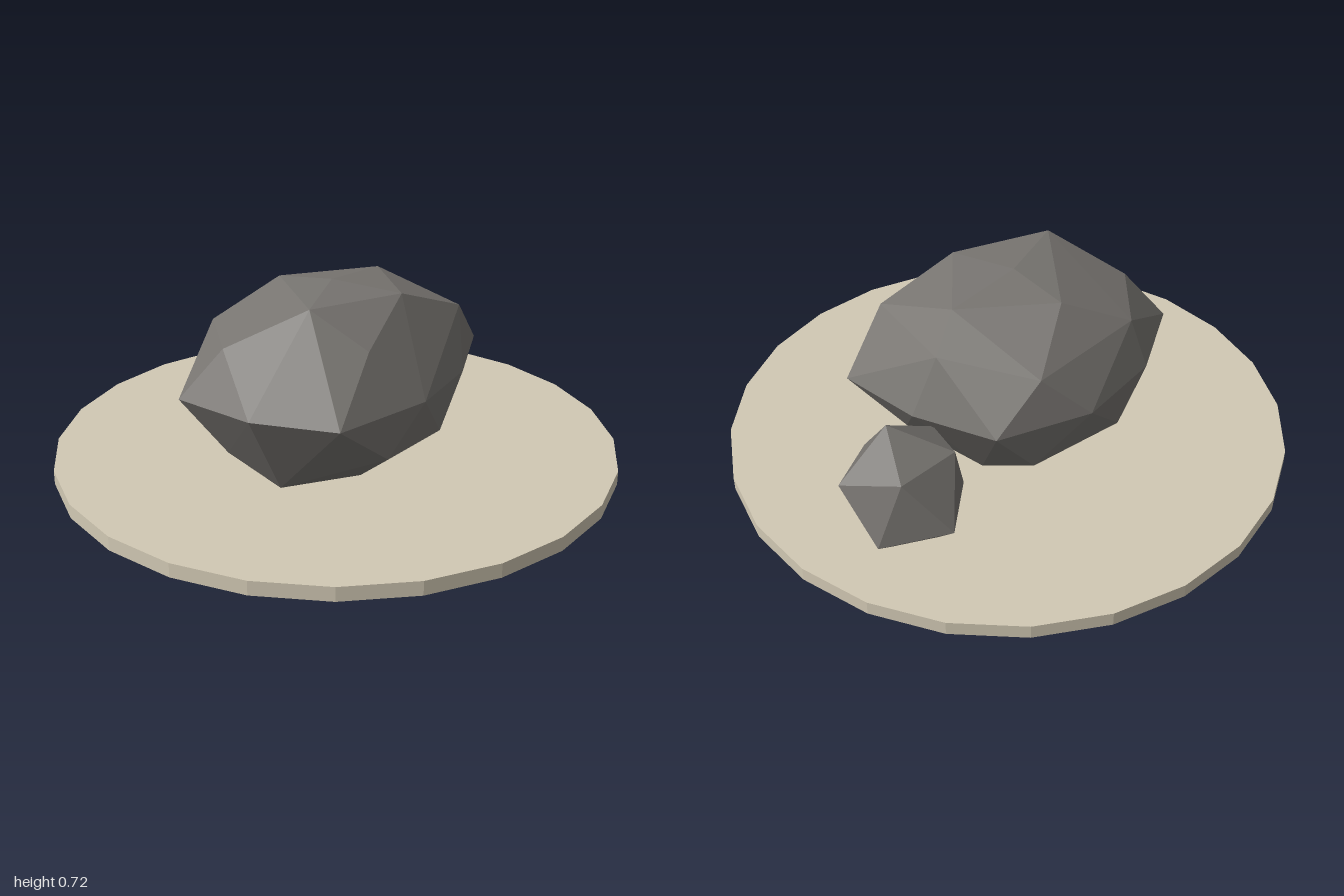
import * as THREE from 'three';
import { ConvexGeometry } from 'three/addons/geometries/ConvexGeometry.js';

const stone = new THREE.MeshStandardMaterial({ color: 0x777470, flatShading: true });
stone.name = 'stone grey';
const sand = new THREE.MeshStandardMaterial({ color: 0xd2c9b4, flatShading: true });
sand.name = 'pale sand';

// Faceted rock: the hull around a handful of corner points
function rock(name, corners) {
  const points = corners.map(([x, y, z]) => new THREE.Vector3(x, y, z));
  const mesh = new THREE.Mesh(new ConvexGeometry(points), stone);
  mesh.name = name;
  return mesh;
}

export function createModel() {
  const model = new THREE.Group();
  model.name = 'boulders';

  // Thin round ground plate
  const base = new THREE.Mesh(new THREE.CylinderGeometry(1, 1, 0.05, 24), sand);
  base.name = 'groundDisc';
  base.position.y = 0.075;
  model.add(base);

  model.add(rock('largeBoulder', [
    // crown
    [-0.04, 0.72, 0.02], [-0.29, 0.71, 0.17], [0.06, 0.70, 0.25],
    [0.24, 0.69, -0.03], [-0.08, 0.69, -0.2],
    // shoulder
    [-0.48, 0.57, -0.04], [-0.2, 0.59, 0.35], [0.35, 0.59, 0.26],
    [0.36, 0.60, -0.12], [0.12, 0.56, -0.37], [-0.32, 0.57, -0.28],
    // waist
    [-0.6, 0.4, -0.13], [-0.56, 0.4, 0.17], [-0.41, 0.4, 0.43],
    [-0.04, 0.4, 0.455], [0.25, 0.4, 0.37], [0.54, 0.4, 0.18],
    [0.46, 0.4, -0.12], [0.3, 0.4, -0.38], [-0.04, 0.4, -0.44],
    [-0.35, 0.4, -0.34],
    // underside
    [-0.2, 0.24, 0.44], [0.09, 0.24, 0.41], [0.4, 0.23, 0.03],
    [0.15, 0.22, -0.38], [-0.22, 0.22, -0.36], [-0.48, 0.2, -0.03],
    [-0.4, 0.1, 0.14], [-0.14, 0.09, 0.25], [0.24, 0.1, 0.16],
    [0.22, 0.1, -0.17], [-0.1, 0.09, -0.24], [-0.36, 0.11, -0.15],
    [-0.04, 0.07, 0],
  ]));

  model.add(rock('smallBoulder', [
    [0.59, 0.465, -0.18],
    [0.78, 0.31, -0.19], [0.6, 0.285, -0.035], [0.4, 0.35, -0.15],
    [0.42, 0.37, -0.32], [0.65, 0.375, -0.37],
    [0.52, 0.18, -0.465], [0.74, 0.14, -0.355], [0.69, 0.1, -0.1],
    [0.44, 0.11, -0.09], [0.36, 0.17, -0.27],
    [0.54, 0, -0.28],
  ]));

  return model;
}
